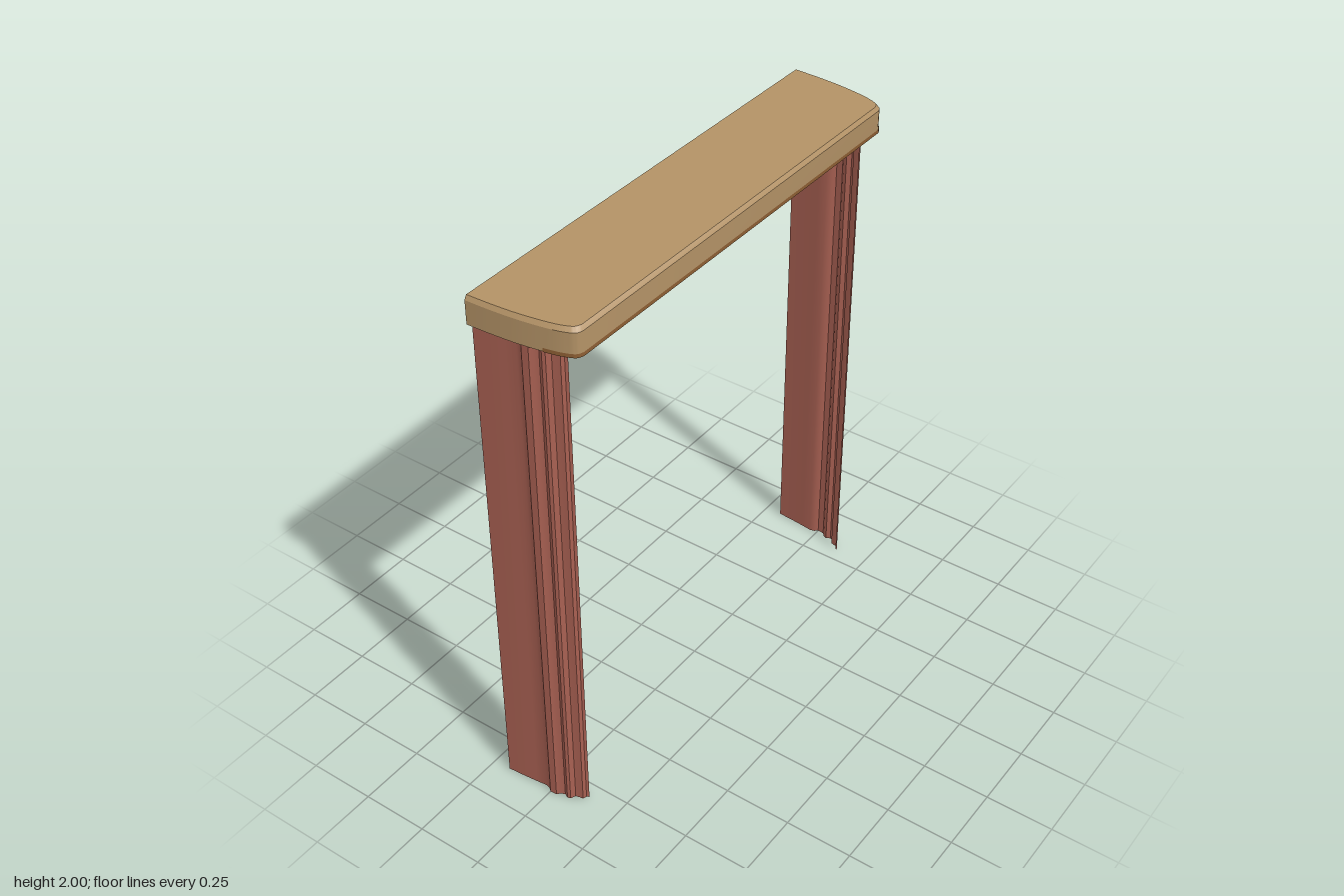
import * as THREE from 'three';
import { toCreasedNormals } from 'three/addons/utils/BufferGeometryUtils.js';

const oak = new THREE.MeshStandardMaterial({ color: 0xb39266 });
oak.name = 'tan wood';
const trimBrown = new THREE.MeshStandardMaterial({ color: 0x8c5e33, side: THREE.DoubleSide });
trimBrown.name = 'brown trim';
const cloth = new THREE.MeshStandardMaterial({ color: 0xa86052, side: THREE.DoubleSide });
cloth.name = 'red cloth';

const BACK = -0.19, BOTTOM = 1.9, WALL = 0.012;

function named(geometry, material, name) {
  const mesh = new THREE.Mesh(geometry, material);
  mesh.name = name;
  return mesh;
}

// Surface through rows; each row is a list of [x, y, z] along the same path
function loft(rows, crease = 0.5) {
  const positions = [];
  for (let j = 0; j < rows.length - 1; j++) {
    for (let i = 0; i < rows[j].length - 1; i++) {
      const a = rows[j][i], b = rows[j][i + 1], c = rows[j + 1][i], d = rows[j + 1][i + 1];
      positions.push(...a, ...c, ...b, ...b, ...c, ...d);
    }
  }
  const geometry = new THREE.BufferGeometry();
  geometry.setAttribute('position', new THREE.Float32BufferAttribute(positions, 3));
  return toCreasedNormals(geometry, crease);
}

// Bowed plan of the pelmet: right back, round the front, left back
const side = new THREE.SplineCurve([
  [0.88, BACK], [0.877, -0.1], [0.869, 0], [0.853, 0.1],
  [0.839, 0.15], [0.825, 0.177], [0.805, 0.187],
].map(([x, z]) => new THREE.Vector2(x, z))).getPoints(24);

function plan(inset) {
  const half = side.map(p => [
    p.x - inset,
    p.y - inset * (p.y - BACK) / (0.187 - BACK),
  ]);
  return [...half, ...half.map(([x, z]) => [-x, z]).reverse()];
}
const ring = (inset, y) => plan(inset).map(([x, z]) => [x, y, z]);

// Flat panel filling the plan, facing up or down
function panel(inset, y, up) {
  const s = up ? -1 : 1;
  const shape = new THREE.Shape(plan(inset).map(([x, z]) => new THREE.Vector2(x, s * z)));
  return new THREE.ShapeGeometry(shape).rotateX(s * Math.PI / 2).translate(0, y, 0);
}

function makePelmet() {
  const group = new THREE.Group();
  group.name = 'pelmet';
  // Walls: inside face, bottom lip, outside face and bevelled top edge
  group.add(named(loft([
    ring(WALL, 1.988), ring(WALL, BOTTOM), ring(0, BOTTOM), ring(0, 1.985), ring(0.009, 2),
  ]), oak, 'pelmetWalls'));
  group.add(named(panel(0.009, 2, true), oak, 'pelmetTop'));
  group.add(named(panel(WALL, 1.988, false), oak, 'pelmetUnderside'));

  // Exposed edge along the open back
  const half = [[0.88, BOTTOM], [0.88, 1.985], [0.871, 2]];
  const inner = [[-0.868, BOTTOM], [-0.868, 1.988], [0.868, 1.988], [0.868, BOTTOM]];
  const outline = [...half, ...half.map(([x, y]) => [-x, y]).reverse(), ...inner];
  const edge = new THREE.ShapeGeometry(new THREE.Shape(outline.map(p => new THREE.Vector2(...p))));
  group.add(named(edge.rotateY(Math.PI).translate(0, 0, BACK), oak, 'pelmetBackEdge'));

  // Thin band along the lower front edge
  const band = y => ring(-0.002, y).filter(p => p[2] > 0.075);
  group.add(named(loft([band(BOTTOM), band(1.914)]), trimBrown, 'pelmetTrim'));
  return group;
}

// Folded cloth: plan of the pleats from back to front, extruded upward
const pleats = [
  [0.862, -0.185], [0.858, -0.13], [0.852, -0.07], [0.847, -0.03], [0.852, -0.012],
  [0.862, 0], [0.86, 0.025], [0.848, 0.036], [0.842, 0.05], [0.85, 0.066],
  [0.846, 0.077], [0.828, 0.085], [0.824, 0.1], [0.822, 0.113], [0.808, 0.117], [0.803, 0.126],
];
function makeCurtain(sign, name) {
  const path = sign > 0 ? pleats : [...pleats].reverse();
  const row = y => path.map(([x, z]) => [sign * x, y, z]);
  return named(loft([row(0), row(1.91)], 0.6), cloth, name);
}

export function createModel() {
  const group = new THREE.Group();
  group.name = 'curtainsWithPelmet';
  group.add(makePelmet(), makeCurtain(1, 'leftCurtain'), makeCurtain(-1, 'rightCurtain'));
  return group;
}
